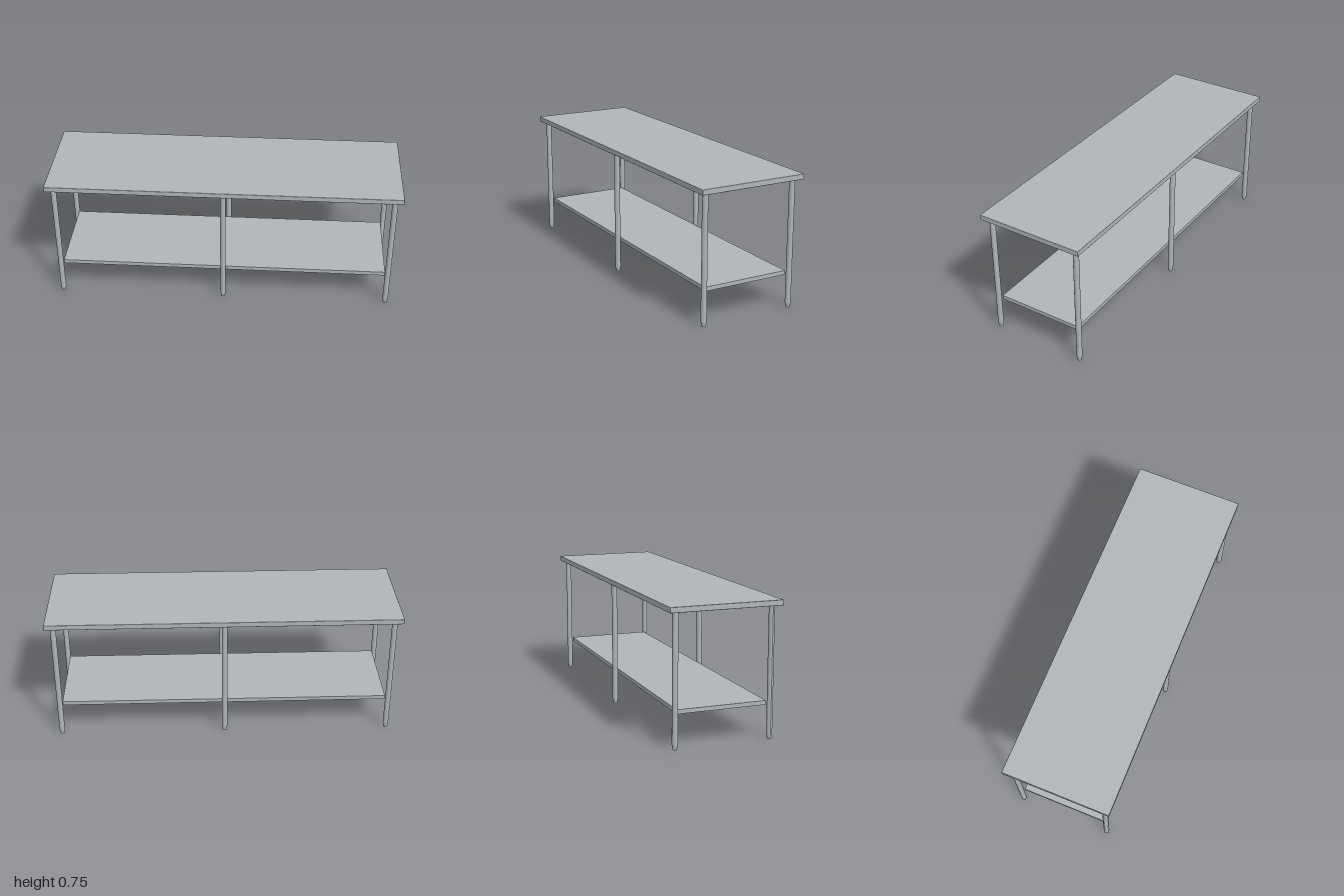
import * as THREE from 'three';
import { RoundedBoxGeometry } from 'three/addons/geometries/RoundedBoxGeometry.js';

const TOP_Y = 0.75, TOP_T = 0.03;      // worktop height and thickness
const SHELF_Y = 0.206, SHELF_T = 0.023;
const LEG_R = 0.016, FOOT_R = 0.011, FOOT_H = 0.025, SIDES = 12;

export function createModel() {
  const table = new THREE.Group();
  table.name = 'workTable';

  const steel = new THREE.MeshStandardMaterial({ color: 0xb2b6b9 });
  steel.name = 'brushed steel';
  const steelFaceted = steel.clone();
  steelFaceted.flatShading = true;

  const add = (parent, name, geometry, material, x, y, z) => {
    const mesh = new THREE.Mesh(geometry, material);
    mesh.name = name;
    mesh.position.set(x, y, z);
    parent.add(mesh);
    return mesh;
  };

  // Worktop with slightly softened edges
  add(table, 'worktop', new RoundedBoxGeometry(2, TOP_T, 0.624, 2, 0.003), steel, 0, TOP_Y - TOP_T / 2, 0);

  // Lower shelf between the legs
  add(table, 'lowerShelf', new THREE.BoxGeometry(1.88, SHELF_T, 0.505), steel, 0, SHELF_Y - SHELF_T / 2, 0);

  // Six tubular legs, each on a tapered foot
  const legH = TOP_Y - TOP_T - FOOT_H;
  const tube = new THREE.CylinderGeometry(LEG_R, LEG_R, legH, SIDES);
  const foot = new THREE.CylinderGeometry(LEG_R, FOOT_R, FOOT_H, SIDES);
  for (const [xName, x] of [['right', -0.955], ['middle', 0], ['left', 0.955]]) {
    for (const [zName, z] of [['Front', 0.268], ['Back', -0.268]]) {
      const leg = new THREE.Group();
      leg.name = `${xName}${zName}Leg`;
      add(leg, 'legTube', tube, steelFaceted, 0, FOOT_H + legH / 2, 0);
      add(leg, 'foot', foot, steelFaceted, 0, FOOT_H / 2, 0);
      leg.position.set(x, 0, z);
      table.add(leg);
    }
  }

  return table;
}
